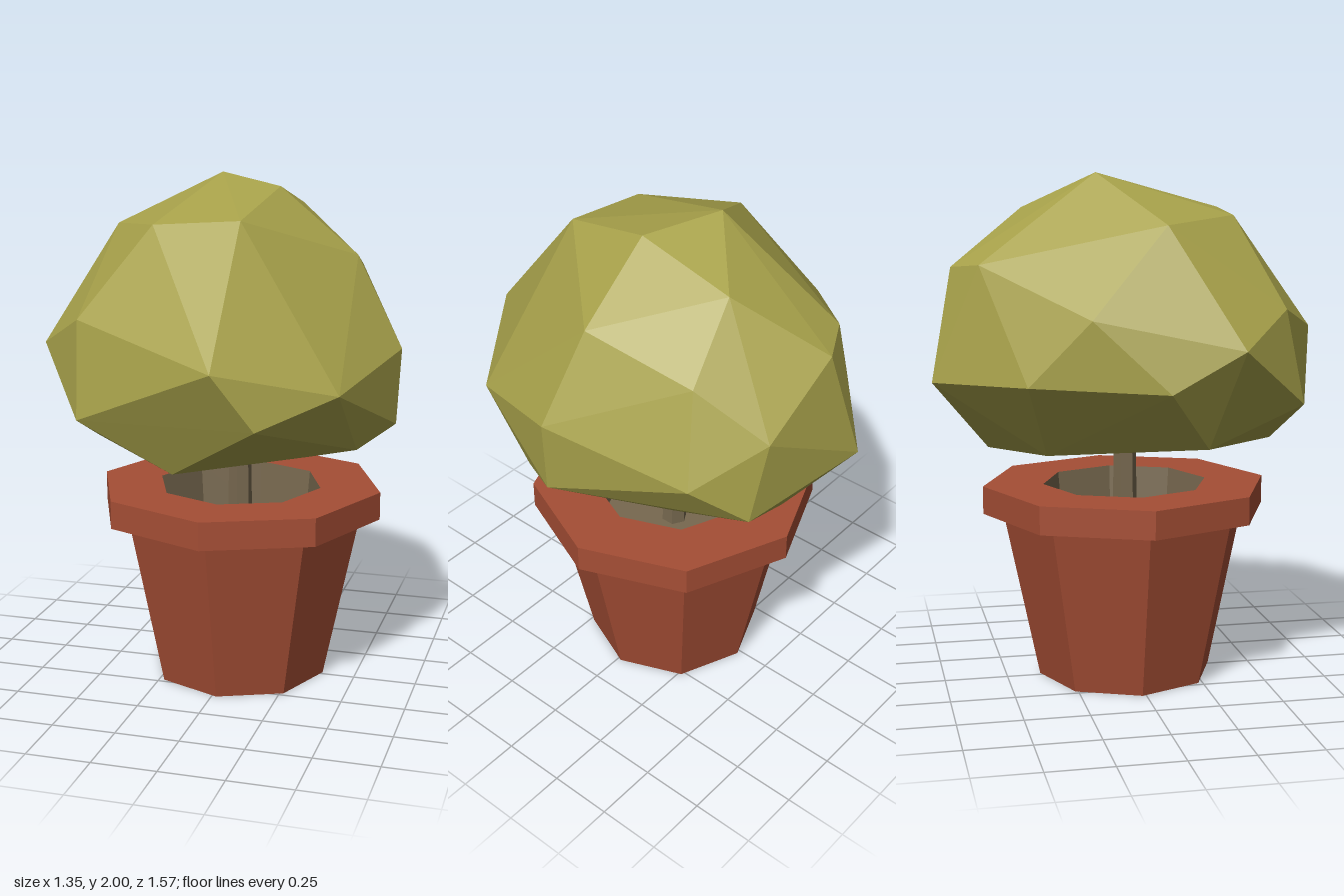
import * as THREE from 'three';
import { ConvexGeometry } from 'three/addons/geometries/ConvexGeometry.js';

function material(name, color) {
  const m = new THREE.MeshStandardMaterial({ color, flatShading: true });
  m.name = name;
  return m;
}

export function createModel() {
  const group = new THREE.Group();
  const terracotta = material('terracotta', 0xa54e35);
  const foliageGreen = material('foliage green', 0xa7a14a);
  const bark = material('bark and soil brown', 0x77684f);

  const add = (name, geometry, mat, x = 0, y = 0, z = 0) => {
    const mesh = new THREE.Mesh(geometry, mat);
    mesh.name = name;
    mesh.position.set(x, y, z);
    group.add(mesh);
  };
  // Eight-sided turned shape from [radius, height] pairs
  const turned = (profile) =>
    new THREE.LatheGeometry(profile.map(([r, y]) => new THREE.Vector2(r, y)), 8);

  const cx = 0.018, cz = -0.015;

  // Pot wall with overhanging rim
  add('pot', turned([[0, 0], [0.35, 0], [0.49, 0.67], [0.57, 0.67], [0.57, 0.78], [0.33, 0.78]]),
    terracotta, cx, 0, cz);
  // Recess inside the rim, down to the soil
  add('soil', turned([[0.33, 0.78], [0.31, 0.57], [0, 0.57]]), bark, cx, 0, cz);
  // Trunk
  add('trunk', new THREE.CylinderGeometry(0.038, 0.052, 0.7, 6), bark, cx, 0.9, cz);

  // Faceted crown: hull of its corners, from the top down
  const corners = [
    [-0.09, 2.0, -0.15], [0.18, 1.96, -0.005], [0.13, 1.865, 0.385], [-0.21, 1.84, 0.36],
    [-0.455, 1.81, 0.05], [0.18, 1.865, -0.4], [0.485, 1.71, 0.0], [0.42, 1.62, -0.44],
    [-0.025, 1.645, -0.7], [-0.195, 1.66, -0.61],
    [-0.46, 1.5, 0.5], [-0.575, 1.48, -0.25], [0.305, 1.44, -0.69], [0.13, 1.38, 0.78],
    [0.67, 1.37, 0.055], [-0.675, 1.37, 0.29], [0.535, 1.28, -0.515], [0.525, 1.27, 0.5],
    [-0.49, 1.235, -0.47], [-0.665, 1.22, 0.02], [-0.115, 1.215, -0.785],
    [0.27, 1.17, 0.71], [-0.44, 1.14, 0.58], [0.375, 1.13, -0.665], [0.655, 1.08, 0.06],
    [0.545, 1.02, 0.265], [-0.495, 0.99, 0.2], [-0.08, 0.955, 0.555],
    [-0.26, 0.945, -0.37], [0.03, 0.935, -0.56], [0.245, 0.85, -0.205],
  ];
  add('crown', new ConvexGeometry(corners.map((p) => new THREE.Vector3(...p))), foliageGreen);

  return group;
}
